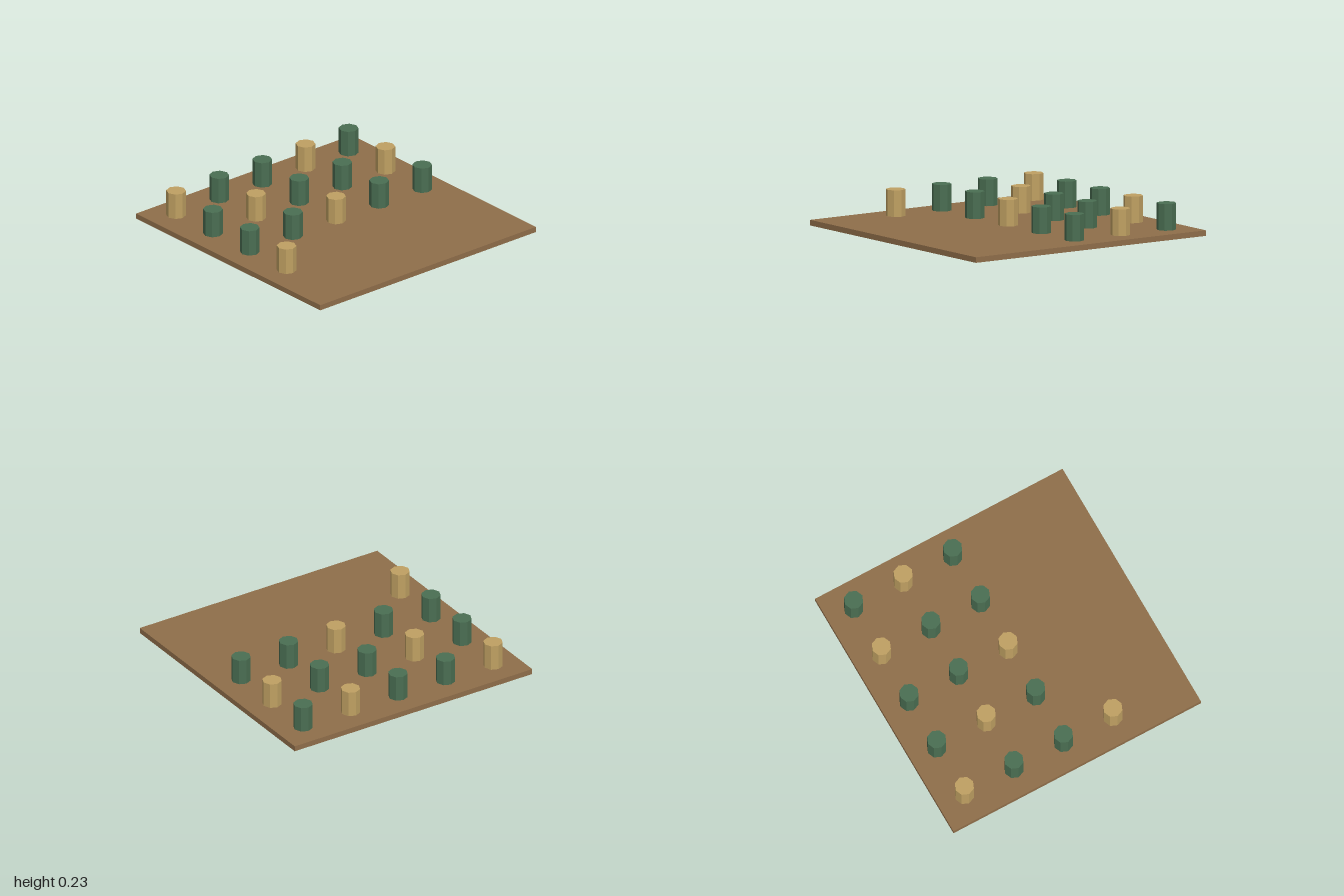
import * as THREE from 'three';

const BOARD_HEIGHT = 0.04;
const PEG_HEIGHT = 0.19;
const PEG_RADIUS = 0.07;
const PEG_COUNT = 16;
const COLUMNS = 5;
const SPACING = 0.4;

export function createModel() {
  const model = new THREE.Group();
  model.name = 'pegBoard';

  const paint = (color) => new THREE.MeshStandardMaterial({ color, flatShading: true });
  const wood = paint(0x8f6e4a);
  const gold = paint(0xbfa062);
  const green = paint(0x4a6e52);

  // Square base board
  const board = new THREE.Mesh(new THREE.BoxGeometry(2, BOARD_HEIGHT, 2), wood);
  board.name = 'board';
  board.position.y = BOARD_HEIGHT / 2;
  model.add(board);

  // Octagonal pegs, filled row by row from the back left corner; every third is gold
  const pegs = new THREE.Group();
  pegs.name = 'pegs';
  const pegGeometry = new THREE.CylinderGeometry(PEG_RADIUS, PEG_RADIUS, PEG_HEIGHT, 8);
  for (let i = 0; i < PEG_COUNT; i++) {
    const isGold = i % 3 === 0;
    const peg = new THREE.Mesh(pegGeometry, isGold ? gold : green);
    peg.name = isGold ? 'goldPeg' : 'greenPeg';
    peg.position.set(
      -0.8 + (i % COLUMNS) * SPACING,
      BOARD_HEIGHT + PEG_HEIGHT / 2,
      -0.8 + Math.floor(i / COLUMNS) * SPACING
    );
    pegs.add(peg);
  }
  model.add(pegs);

  return model;
}
